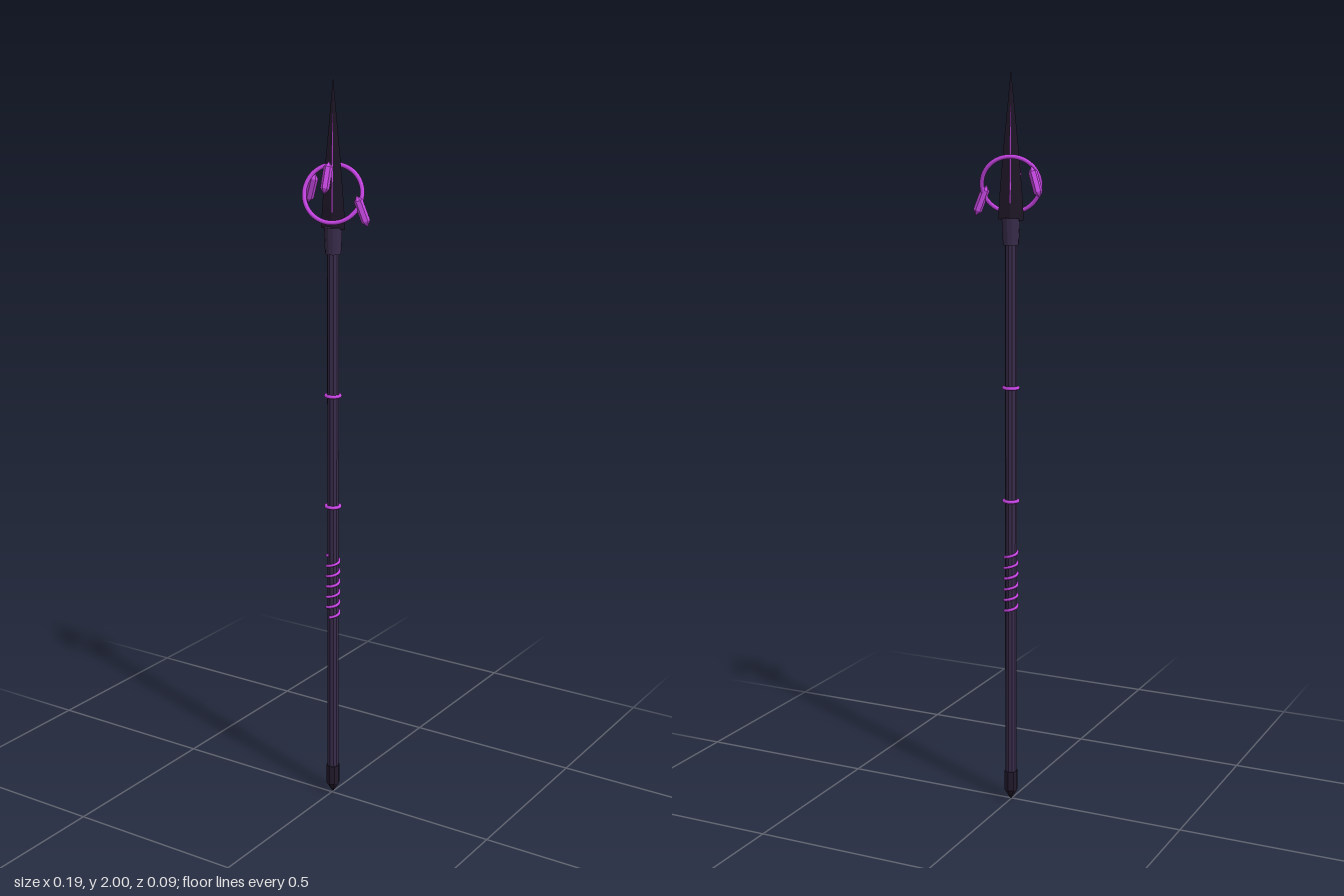
import * as THREE from 'three';

const material = (name, color, flatShading = false) => {
  const m = new THREE.MeshStandardMaterial({ color, flatShading });
  m.name = name;
  return m;
};

// Profile of [radius, height] pairs turned around the y axis
const lathe = (points, sides) =>
  new THREE.LatheGeometry(points.map(([r, y]) => new THREE.Vector2(r, y)), sides);

// Coil wound around the shaft
class Coil extends THREE.Curve {
  getPoint(t, target = new THREE.Vector3()) {
    const a = t * Math.PI * 2 * 6;
    return target.set(Math.sin(a) * 0.0175, 0.54 + t * 0.182, Math.cos(a) * 0.0175);
  }
}

export function createModel() {
  const group = new THREE.Group();
  const shaftMat = material('dark violet shaft', 0x382c4a, true);
  const bladeMat = material('black violet metal', 0x221a2c, true);
  const glowMat = material('bright purple', 0xc844e6);
  const crystalMat = material('crystal purple', 0xc848e4, true);

  const add = (name, geometry, mat) => {
    const mesh = new THREE.Mesh(geometry, mat);
    mesh.name = name;
    mesh.position.z = -0.005;
    group.add(mesh);
    return mesh;
  };

  // Shaft, pointed butt and flared socket
  add('shaft', lathe([[0, 0.06], [0.016, 0.06], [0.016, 1.57], [0, 1.57]], 10), shaftMat);
  add('buttCap', lathe([[0, 0], [0.019, 0.03], [0.019, 0.085], [0, 0.085]], 8), bladeMat);
  add('socket', lathe([[0, 1.55], [0.021, 1.55], [0.0245, 1.62], [0, 1.62]], 12), shaftMat);

  // Flat diamond-section blade with a raised central rib
  add('blade', lathe([[0, 1.615], [0.037, 1.615], [0.034, 1.67], [0.022, 1.8], [0, 2]], 4), bladeMat)
    .scale.z = 0.19;
  add('bladeRib', lathe([[0, 1.64], [0.009, 1.66], [0.0065, 1.8], [0.003, 1.9], [0, 1.94]], 4), crystalMat)
    .scale.z = 0.9;

  // Bands and grip winding
  for (const y of [0.86, 1.17]) {
    const band = add('shaftBand', new THREE.TorusGeometry(0.019, 0.005, 8, 24), glowMat);
    band.position.y = y;
    band.rotation.x = Math.PI / 2;
  }
  add('gripWinding', new THREE.TubeGeometry(new Coil(), 144, 0.0042, 6), glowMat);

  // Tilted ring floating around the blade
  const ring = add('floatingRing', new THREE.TorusGeometry(0.0766, 0.006, 10, 56), glowMat);
  ring.position.y = 1.707;
  ring.rotation.set(-0.35, 0.35, 0);

  // Three floating crystals leaning in towards the tip
  const crystal = lathe([[0, -0.043], [0.012, -0.028], [0.012, 0.028], [0, 0.043]], 6);
  const up = new THREE.Vector3(0, 1, 0);
  for (const [x, y, z, leanX, leanZ] of [
    [0, 1.75, 0.026, 0, -0.3],
    [-0.078, 1.715, -0.022, 0.36, 0.13],
    [0.078, 1.665, -0.022, -0.36, 0.13],
  ]) {
    const mesh = add('floatingCrystal', crystal, crystalMat);
    mesh.position.set(x, y, z);
    mesh.quaternion.setFromUnitVectors(up, new THREE.Vector3(leanX, 1, leanZ).normalize());
  }
  return group;
}
